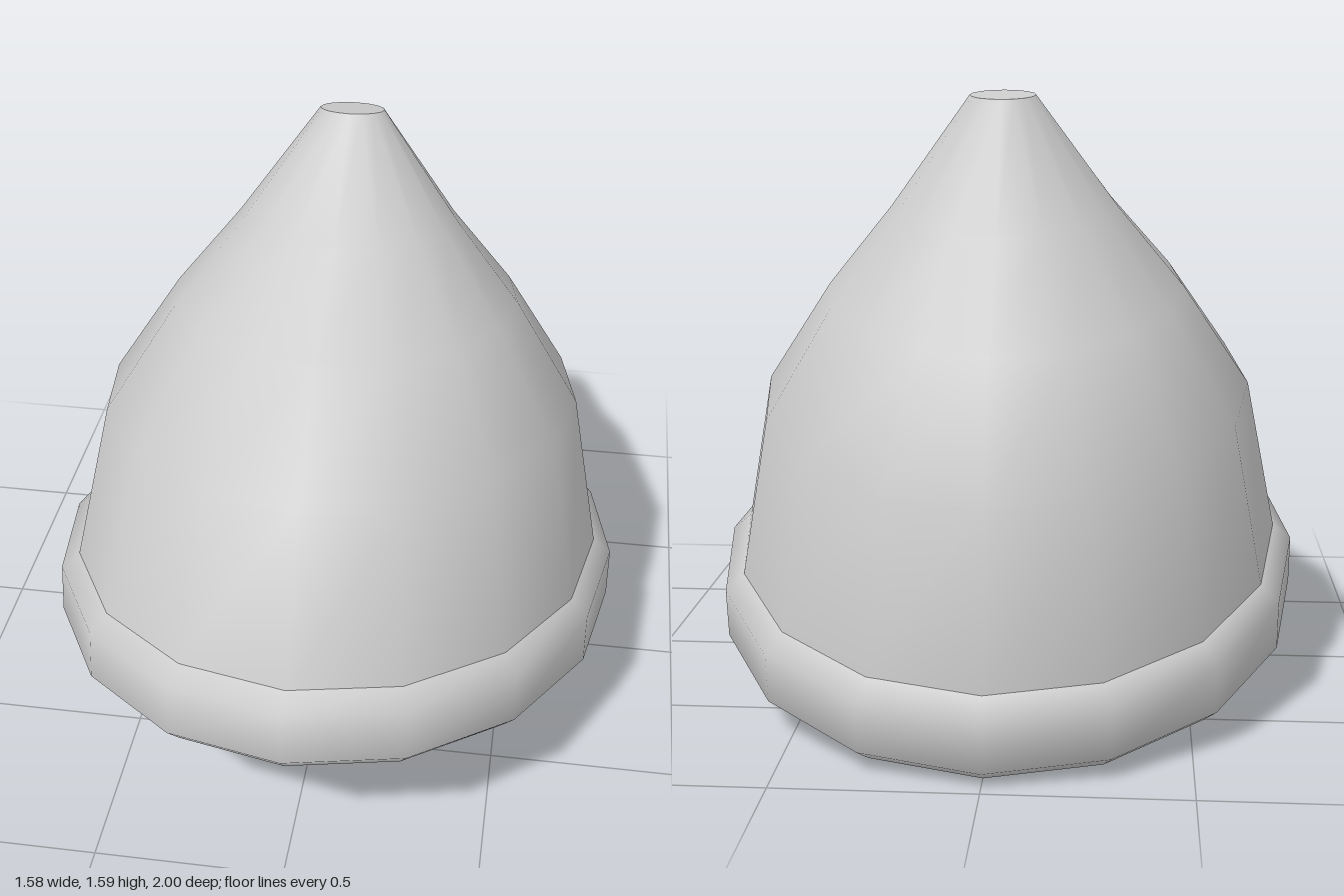
import * as THREE from 'three';

const SIDES = 16;
const material = new THREE.MeshStandardMaterial({ color: 0xcccccc, side: THREE.DoubleSide });

// Tilted elliptical rings: [front z, front y, back z, back y, half width], lowest first
const BRIM_TOP = [0.91, 0.567, -0.94, 0.22, 0.74];
const TIP = [-0.188, 1.597, -0.31, 1.575, 0.086];
const brimRings = [
  [0.95, 0.348, -0.91, 0.003, 0.743],
  [1.0, 0.408, -0.975, 0.04, 0.79],
  [0.975, 0.538, -1.0, 0.17, 0.79],
  BRIM_TOP,
];
const coneRings = [
  BRIM_TOP,
  [0.72, 0.963, -0.91, 0.66, 0.655],
  [0.4, 1.183, -0.7, 0.98, 0.475],
  [0.095, 1.348, -0.478, 1.24, 0.3],
  TIP,
];

// Skin a stack of rings with a smooth closed loop of quads
function loft(name, rings, capped = false) {
  const positions = [];
  const indices = [];
  for (const [fz, fy, bz, by, w] of rings) {
    for (let i = 0; i < SIDES; i++) {
      const a = (i / SIDES) * Math.PI * 2;
      const c = Math.cos(a);
      positions.push(w * Math.sin(a), (fy + by) / 2 + ((fy - by) / 2) * c, (fz + bz) / 2 + ((fz - bz) / 2) * c);
    }
  }
  for (let r = 0; r < rings.length - 1; r++) {
    for (let i = 0; i < SIDES; i++) {
      const a = r * SIDES + i;
      const b = r * SIDES + ((i + 1) % SIDES);
      indices.push(a, b, b + SIDES, a, b + SIDES, a + SIDES);
    }
  }
  // Flat lid across a single ring
  if (capped) for (let i = 1; i < SIDES - 1; i++) indices.push(0, i, i + 1);

  const geometry = new THREE.BufferGeometry();
  geometry.setAttribute('position', new THREE.Float32BufferAttribute(positions, 3));
  geometry.setIndex(indices);
  geometry.computeVertexNormals();
  const mesh = new THREE.Mesh(geometry, material);
  mesh.name = name;
  return mesh;
}

export function createModel() {
  const hat = new THREE.Group();
  hat.name = 'hat';
  hat.add(
    loft('brimBand', brimRings),
    loft('crown', coneRings),
    loft('tipCap', [TIP], true),
  );
  return hat;
}
